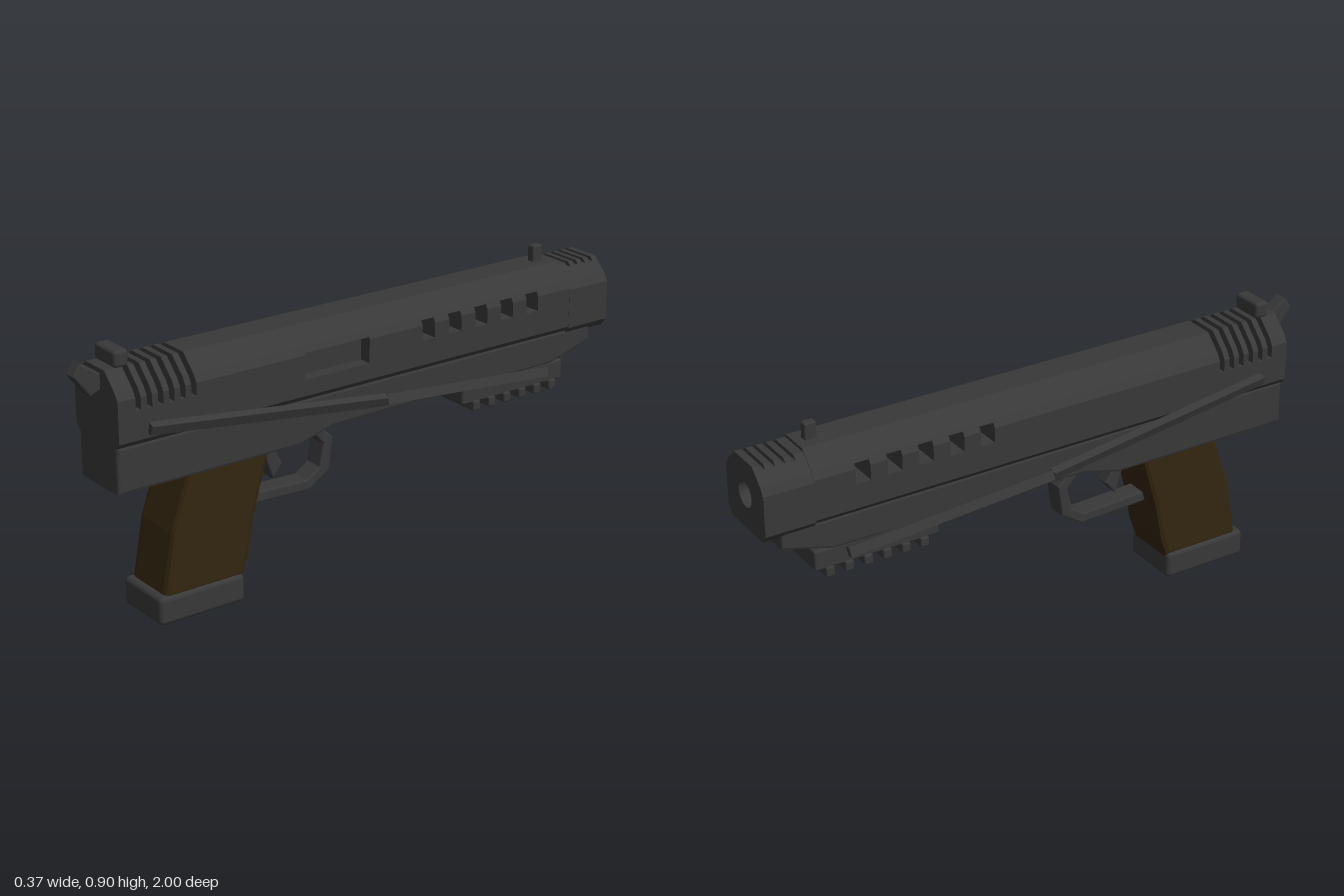
import * as THREE from 'three';
import { mergeGeometries } from 'three/addons/utils/BufferGeometryUtils.js';
import { RoundedBoxGeometry } from 'three/addons/geometries/RoundedBoxGeometry.js';

export function createModel() {
  const group = new THREE.Group();
  const steel = new THREE.MeshStandardMaterial({ color: 0x383838 });
  steel.name = 'dark steel';
  const wood = new THREE.MeshStandardMaterial({ color: 0x33250f });
  wood.name = 'brown grip';

  const add = (name, geometry, material = steel) => {
    const mesh = new THREE.Mesh(geometry, material);
    mesh.name = name;
    group.add(mesh);
    return mesh;
  };
  const shapeOf = pts => new THREE.Shape(pts.map(p => new THREE.Vector2(p[0], p[1])));

  // Side outline in (z, y), extruded evenly across x with chamfered edges
  const sidePart = (name, pts, halfWidth, bevel, material) => {
    const g = new THREE.ExtrudeGeometry(shapeOf(pts), {
      depth: 2 * (halfWidth - bevel), bevelEnabled: true, bevelSegments: 2,
      bevelSize: bevel, bevelThickness: bevel, bevelOffset: -bevel,
    });
    g.translate(0, 0, -(halfWidth - bevel));
    g.rotateY(-Math.PI / 2);
    return add(name, g, material);
  };
  const boxPart = (name, w, h, d, x, y, z, r = 0.01) =>
    add(name, new RoundedBoxGeometry(w, h, d, 2, r)).position.set(x, y, z);

  // Half profile [x, y] limited to the band y0..y1
  const band = (profile, y0, y1) => {
    const widthAt = y => {
      for (let i = 1; i < profile.length; i++) {
        const [xa, ya] = profile[i - 1], [xb, yb] = profile[i];
        if (y <= yb) return xa + (xb - xa) * (y - ya) / (yb - ya);
      }
      return profile[profile.length - 1][0];
    };
    return [[widthAt(y0), y0], ...profile.filter(p => p[1] > y0 && p[1] < y1), [widthAt(y1), y1]];
  };
  // Mirrored cross-section between two z values, with optional bore and side notch
  const slab = (profile, z0, z1, y0, y1, { bore, notch } = {}) => {
    const left = band(profile, y0, y1);
    let right = left;
    if (notch) {
      const [depthX, a, b] = notch;
      const low = band(profile, y0, a), high = band(profile, b, y1);
      right = [...low, [depthX, a], [depthX, b], ...high];
    }
    const shape = shapeOf([...right, ...left.map(([x, y]) => [-x, y]).reverse()]);
    if (bore) shape.holes.push(new THREE.Path().absarc(0, bore.y, bore.r, 0, Math.PI * 2, true));
    const g = new THREE.ExtrudeGeometry(shape, { depth: z1 - z0, bevelEnabled: false, curveSegments: 16 });
    return g.translate(0, 0, z0);
  };

  // Slide: eight-sided bar with rear slots, side windows and an ejection port
  const slideProfile = [[0.107, 0.62], [0.121, 0.637], [0.121, 0.77], [0.106, 0.795], [0.052, 0.848]];
  const cuts = [];
  for (let i = 0; i < 5; i++) cuts.push({ z: -0.668 + i * 0.108, w: 0.05, y0: 0.72, y1: 0.785 });
  cuts.push({ z: 0.122, w: 0.246, notch: [0.075, 0.69, 0.776] });
  for (let i = 0; i < 6; i++) cuts.push({ z: 0.65 + i * 0.0385, w: 0.018, y0: 0.73, y1: 0.848 });
  const slide = [];
  let z = -0.83;
  for (const c of cuts) {
    const a = c.z - c.w / 2, b = c.z + c.w / 2;
    slide.push(slab(slideProfile, z, a, 0.62, 0.848));
    if (c.notch) slide.push(slab(slideProfile, a, b, 0.62, 0.848, c));
    else {
      slide.push(slab(slideProfile, a, b, 0.62, c.y0));
      if (c.y1 < 0.848) slide.push(slab(slideProfile, a, b, c.y1, 0.848));
    }
    z = b;
  }
  slide.push(slab(slideProfile, z, 0.912, 0.62, 0.848));
  add('slide', mergeGeometries(slide));

  // Muzzle block with top grooves and a bore
  const muzzleProfile = [[0.1, 0.605], [0.122, 0.632], [0.122, 0.765], [0.106, 0.792], [0.058, 0.838]];
  const bore = { y: 0.72, r: 0.042 };
  const muzzle = [];
  z = -0.997;
  for (let i = 0; i < 4; i++) {
    const a = -0.975 + i * 0.033;
    muzzle.push(slab(muzzleProfile, z, a, 0.605, 0.838, { bore }));
    muzzle.push(slab(muzzleProfile, a, a + 0.014, 0.605, 0.825, { bore }));
    z = a + 0.014;
  }
  muzzle.push(slab(muzzleProfile, z, -0.83, 0.605, 0.838, { bore }));
  add('muzzleBlock', mergeGeometries(muzzle));

  // Frame under the slide
  sidePart('frame', [[0.912, 0.47], [0.912, 0.622], [-0.94, 0.622], [-0.94, 0.562],
    [-0.77, 0.515], [0.13, 0.505], [0.26, 0.47]], 0.107, 0.01);

  // Grip and magazine base
  sidePart('grip', [[0.65, 0.49], [0.72, 0.29], [0.757, 0.08], [0.47, 0.08], [0.445, 0.15],
    [0.42, 0.28], [0.36, 0.49]], 0.098, 0.018, wood);
  boxPart('magazineBase', 0.214, 0.094, 0.31, 0, 0.048, 0.625, 0.016);

  // Trigger and its guard
  sidePart('trigger', [[0.348, 0.48], [0.285, 0.48], [0.295, 0.44], [0.268, 0.39],
    [0.305, 0.345], [0.325, 0.4]], 0.028, 0.006);
  sidePart('triggerGuard', [[0.27, 0.49], [0.13, 0.515], [0.13, 0.485], [0.078, 0.435], [0.094, 0.325],
    [0.17, 0.276], [0.43, 0.285], [0.43, 0.322], [0.18, 0.312], [0.13, 0.345],
    [0.115, 0.42], [0.155, 0.465], [0.2, 0.475]], 0.036, 0.006);

  // Accessory rail with cross teeth
  boxPart('rail', 0.194, 0.07, 0.43, 0, 0.482, -0.615, 0.008);
  for (let i = 0; i < 6; i++) boxPart('railTooth', 0.212, 0.034, 0.03, 0, 0.438, -0.455 - i * 0.0655, 0.006);

  // Sights and hammer
  boxPart('rearSight', 0.116, 0.054, 0.05, 0, 0.873, 0.855, 0.012);
  boxPart('frontSight', 0.03, 0.06, 0.04, 0, 0.872, -0.78, 0.006);
  sidePart('hammer', [[1.0, 0.838], [0.975, 0.876], [0.9, 0.825], [0.9, 0.785], [0.945, 0.765]], 0.026, 0.006);

  // Bowed side struts, two straight bars on each side
  for (const s of [1, -1]) {
    const pts = [[0.126, 0.667, 0.81], [0.165, 0.576, -0.03], [0.126, 0.501, -0.73]]
      .map(p => new THREE.Vector3(s * p[0], p[1], p[2]));
    for (let i = 0; i < 2; i++) {
      const bar = add(s > 0 ? 'leftStrut' : 'rightStrut',
        new THREE.BoxGeometry(0.026, 0.032, pts[i].distanceTo(pts[i + 1])));
      bar.position.lerpVectors(pts[i], pts[i + 1], 0.5);
      bar.lookAt(pts[i + 1]);
      bar.rotateZ(s * (i ? -0.35 : 0.35));
    }
  }
  return group;
}
